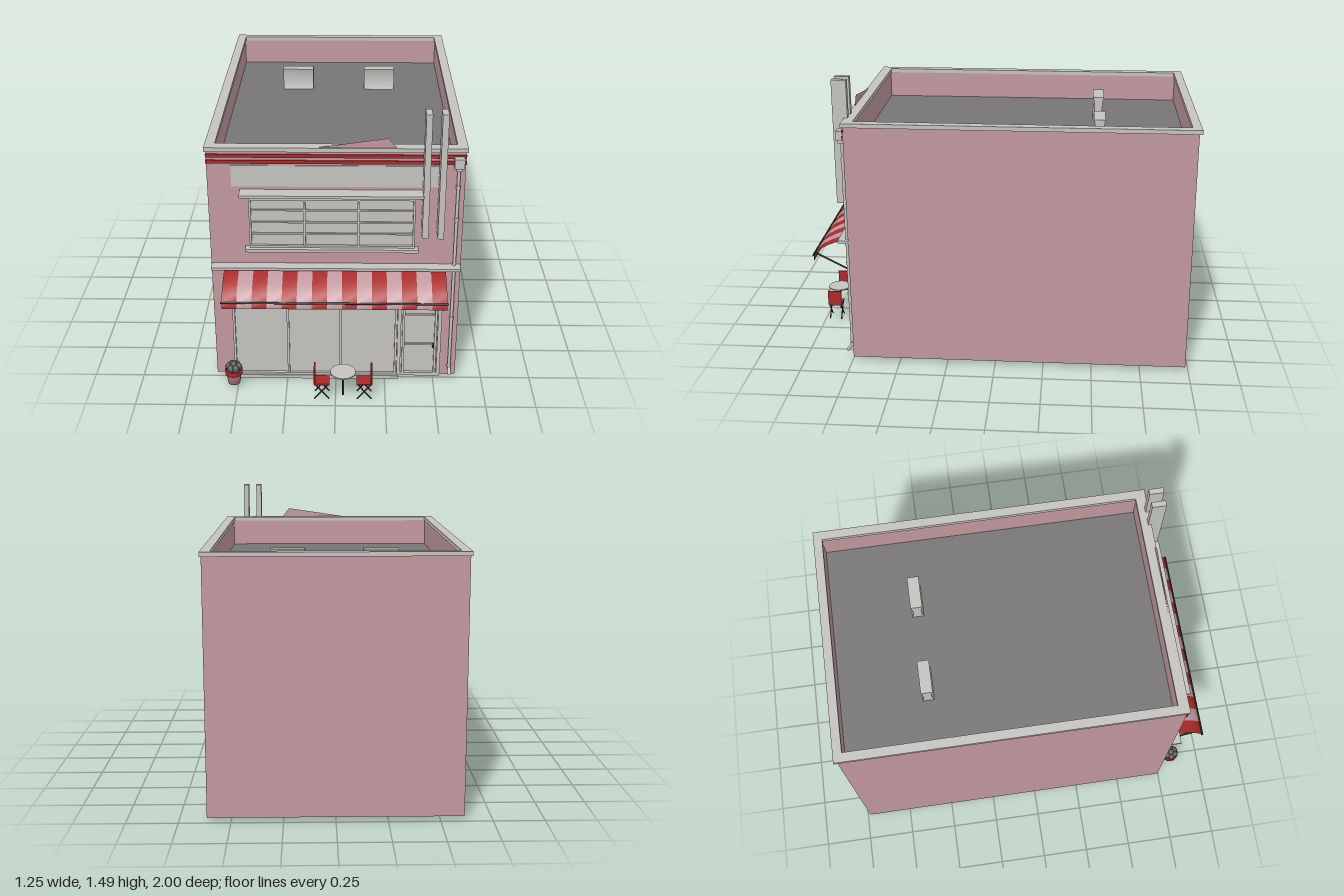
import * as THREE from 'three';

const paint = (name, color) => {
  const m = new THREE.MeshStandardMaterial({ color, side: THREE.DoubleSide });
  m.name = name;
  return m;
};

export function createModel() {
  const root = new THREE.Group();
  root.name = 'shopBuilding';
  const pink = paint('pinkWall', 0xc1989f);
  const grey = paint('lightGrey', 0xc4c3c0);
  const red = paint('red', 0xa92a2a);
  const roofGrey = paint('roofGrey', 0x777575);
  const dark = paint('darkMetal', 0x2c2e31);
  const leaf = paint('plantGrey', 0x5a5656);
  const potPink = paint('potPink', 0xbc7f86);

  const V = (x, y, z) => new THREE.Vector3(x, y, z);
  const add = (name, geo, mat, parent = root) => {
    const m = new THREE.Mesh(geo, mat);
    m.name = name;
    parent.add(m);
    return m;
  };
  const group = (name) => {
    const g = new THREE.Group();
    g.name = name;
    root.add(g);
    return g;
  };
  // box from its limits on each axis
  const box = (name, mat, x0, x1, y0, y1, z0, z1, parent) => {
    const g = new THREE.BoxGeometry(x1 - x0, y1 - y0, z1 - z0);
    g.translate((x0 + x1) / 2, (y0 + y1) / 2, (z0 + z1) / 2);
    return add(name, g, mat, parent);
  };
  // round bar between two points
  const rod = (name, mat, a, b, r, parent, sides = 8) => {
    const d = b.clone().sub(a);
    const m = add(name, new THREE.CylinderGeometry(r, r, d.length(), sides), mat, parent);
    m.position.copy(a).add(b).multiplyScalar(0.5);
    m.quaternion.setFromUnitVectors(V(0, 1, 0), d.normalize());
    return m;
  };
  // four upright sheets round a rectangle, open above and below
  const shell = (name, mat, hx, z0, z1, y0, y1) => {
    const g = group(name), w = hx * 2, d = z1 - z0, h = y1 - y0, y = (y0 + y1) / 2, zc = (z0 + z1) / 2;
    for (const [x, z, len, turn] of [[0, z1, w, 0], [hx, zc, d, 1], [0, z0, w, 2], [-hx, zc, d, 3]]) {
      const m = add(name + 'Side', new THREE.PlaneGeometry(len, h), mat, g);
      m.position.set(x, y, z);
      m.rotation.y = turn * Math.PI / 2;
    }
  };
  // flat rectangular ring
  const ring = (name, mat, hx, z0, z1, ix, iz0, iz1, y0, y1) => {
    const rect = (C, a, b, c) => new C([[-a, -b], [a, -b], [a, -c], [-a, -c]].map(p => new THREE.Vector2(...p)));
    const s = rect(THREE.Shape, hx, z1, z0);
    s.holes.push(rect(THREE.Path, ix, iz1, iz0));
    const g = new THREE.ExtrudeGeometry(s, { depth: y1 - y0, bevelEnabled: false });
    g.rotateX(-Math.PI / 2).translate(0, y0, 0);
    return add(name, g, mat);
  };

  // walls, parapet, cornice and roof
  shell('outerWall', pink, 0.615, -0.985, 0.745, 0.02, 1.275);
  shell('parapetInside', pink, 0.58, -0.96, 0.705, 1.13, 1.275);
  ring('cornice', grey, 0.623, -1, 0.755, 0.575, -0.955, 0.7, 1.272, 1.293);
  const roof = add('roof', new THREE.PlaneGeometry(1.16, 1.665), roofGrey);
  roof.rotation.x = -Math.PI / 2;
  roof.position.set(0, 1.13, -0.1275);

  // roof vents with hollowed sides
  for (const x of [-0.32, 0.143]) {
    const s = new THREE.Shape();
    s.moveTo(-0.03, 0);
    s.lineTo(0.03, 0);
    s.quadraticCurveTo(0.012, 0.06, 0.03, 0.12);
    s.lineTo(-0.03, 0.12);
    s.quadraticCurveTo(-0.012, 0.06, -0.03, 0);
    const g = new THREE.ExtrudeGeometry(s, { depth: 0.173, bevelEnabled: false, curveSegments: 6 });
    g.rotateY(Math.PI / 2);
    add('roofVent', g, grey).position.set(x, 1.13, -0.515);
  }

  // pointed panel above the front cornice
  const peak = new THREE.Shape([[-0.25, 1.27], [0.305, 1.27], [0.247, 1.342]].map(p => new THREE.Vector2(...p)));
  add('frontPeak', new THREE.ShapeGeometry(peak), pink).position.z = 0.747;

  // upper facade
  for (const y of [1.21, 1.241]) box('redBand', red, -0.617, 0.617, y, y + 0.017, 0.742, 0.751);
  box('signPanel', grey, -0.5, 0.49, 1.09, 1.2, 0.743, 0.749);
  for (const x of [0.415, 0.49]) box('signBlade', grey, x, x + 0.03, 0.845, 1.485, 0.737, 0.812);
  box('windowHood', grey, -0.46, 0.42, 1.06, 1.074, 0.74, 0.82);
  box('windowSill', grey, -0.442, 0.402, 0.752, 0.768, 0.735, 0.785);
  box('beltLedge', grey, -0.612, 0.612, 0.658, 0.672, 0.74, 0.8);

  // framed glazing with bars at the given positions
  const glazing = (name, x0, x1, y0, y1, t, xs, ys) => {
    const g = group(name), zb = 0.738, zf = 0.764;
    box('pane', grey, x0, x1, y0, y1, zb, 0.75, g);
    for (const x of [x0, x1 - t]) box('frameSide', grey, x, x + t, y0, y1, zb, zf, g);
    for (const y of [y0, y1 - t]) box('frameRail', grey, x0, x1, y, y + t, zb, zf, g);
    for (const x of xs) box('mullion', grey, x - t / 2, x + t / 2, y0, y1, zb, zf - 0.003, g);
    for (const y of ys) box('glazingBar', grey, x0, x1, y - 0.004, y + 0.004, zb, 0.757, g);
  };
  glazing('upperWindow', -0.42, 0.383, 0.768, 1.034, 0.01, [-0.152, 0.11], [0.84, 0.902, 0.967]);
  glazing('shopWindow', -0.522, 0.31, 0.02, 0.6, 0.012, [-0.243, 0.023], []);
  box('shopBase', grey, -0.545, 0.322, 0, 0.02, 0.722, 0.77);

  // door
  glazing('doorFrame', 0.312, 0.534, 0.02, 0.52, 0.018, [], []);
  glazing('door', 0.337, 0.512, 0.022, 0.497, 0.012, [], [0.208, 0.383, 0.478]);
  box('doorLintel', grey, 0.306, 0.548, 0.513, 0.53, 0.738, 0.775);
  rod('doorHandle', dark, V(0.495, 0.195, 0.768), V(0.495, 0.22, 0.768), 0.004);

  // downpipe with hopper, collars and outlet
  const pipe = group('downpipe');
  box('hopper', grey, 0.558, 0.606, 1.2, 1.25, 0.742, 0.782, pipe);
  box('hopperNeck', grey, 0.568, 0.596, 1.185, 1.2, 0.745, 0.775, pipe);
  rod('pipe', grey, V(0.582, 0.07, 0.757), V(0.582, 1.19, 0.757), 0.008, pipe, 12);
  rod('outlet', grey, V(0.582, 0.074, 0.757), V(0.582, 0.04, 0.782), 0.008, pipe, 12);
  for (const y of [0.075, 0.36, 0.64, 0.92, 1.09])
    rod('collar', grey, V(0.582, y, 0.757), V(0.582, y + 0.015, 0.757), 0.011, pipe, 12);

  // striped awning, roller, front bar and arms
  const awning = group('awning');
  const profile = [[0.65, 0.77], [0.638, 0.82], [0.62, 0.865], [0.595, 0.91], [0.562, 0.943], [0.528, 0.945]];
  const w = 1.09 / 15;
  for (let i = 0; i < 15; i++) {
    const g = new THREE.PlaneGeometry(w, 1, 1, profile.length - 1);
    const p = g.attributes.position;
    for (let k = 0; k < p.count; k++) {
      const [y, z] = profile[Math.floor(k / 2)];
      p.setXYZ(k, -0.55 + w * (i + (k % 2)), y, z);
    }
    g.computeVertexNormals();
    add('awningStripe', g, i % 2 ? pink : red, awning);
  }
  rod('awningRoller', dark, V(-0.557, 0.649, 0.765), V(0.547, 0.649, 0.765), 0.009, awning);
  rod('awningFrontBar', dark, V(-0.555, 0.562, 0.946), V(0.545, 0.562, 0.946), 0.005, awning);
  for (const x of [-0.527, 0.511]) {
    rod('awningArm', dark, V(x, 0.47, 0.765), V(x, 0.564, 0.944), 0.005, awning);
    box('armBracket', dark, x - 0.009, x + 0.009, 0.442, 0.482, 0.743, 0.772, awning);
  }

  // potted plant
  const plant = group('pottedPlant');
  plant.position.set(-0.52, 0.02, 0.832);
  const lathe = (pts) => new THREE.LatheGeometry(pts.map(p => new THREE.Vector2(...p)), 20);
  add('pot', lathe([[0, 0], [0.031, 0], [0.038, 0.06]]), potPink, plant);
  add('potRim', lathe([[0.037, 0.055], [0.044, 0.055], [0.045, 0.078], [0.038, 0.078], [0, 0.07]]), red, plant);
  for (let i = 0; i < 7; i++) {
    const a = i * Math.PI / 3, r = i < 6 ? 0.025 : 0;
    const m = add('foliage', new THREE.SphereGeometry(0.019, 8, 6), leaf, plant);
    m.position.set(r * Math.cos(a), i < 6 ? 0.093 : 0.104, r * Math.sin(a));
    m.scale.y = 1.15;
  }

  // cafe table
  const cx = 0.038, cz = 0.935, table = group('cafeTable');
  rod('tableTop', grey, V(cx, 0.156, cz), V(cx, 0.162, cz), 0.063, table, 32);
  rod('tablePost', dark, V(cx, 0.02, cz), V(cx, 0.156, cz), 0.005, table);

  // folding chairs facing the table
  for (const s of [-1, 1]) {
    const chair = group('foldingChair');
    chair.position.set(cx, 0, cz);
    if (s < 0) chair.rotation.y = Math.PI;
    box('seat', red, 0.068, 0.143, 0.103, 0.111, -0.037, 0.037, chair);
    box('backrest', red, 0.138, 0.146, 0.108, 0.19, -0.037, 0.037, chair);
    for (const z of [-0.032, 0.032]) {
      rod('legA', dark, V(0.075, 0.104, z), V(0.142, 0.02, z), 0.0035, chair, 6);
      rod('legB', dark, V(0.138, 0.104, z), V(0.07, 0.02, z), 0.0035, chair, 6);
    }
  }
  return root;
}
